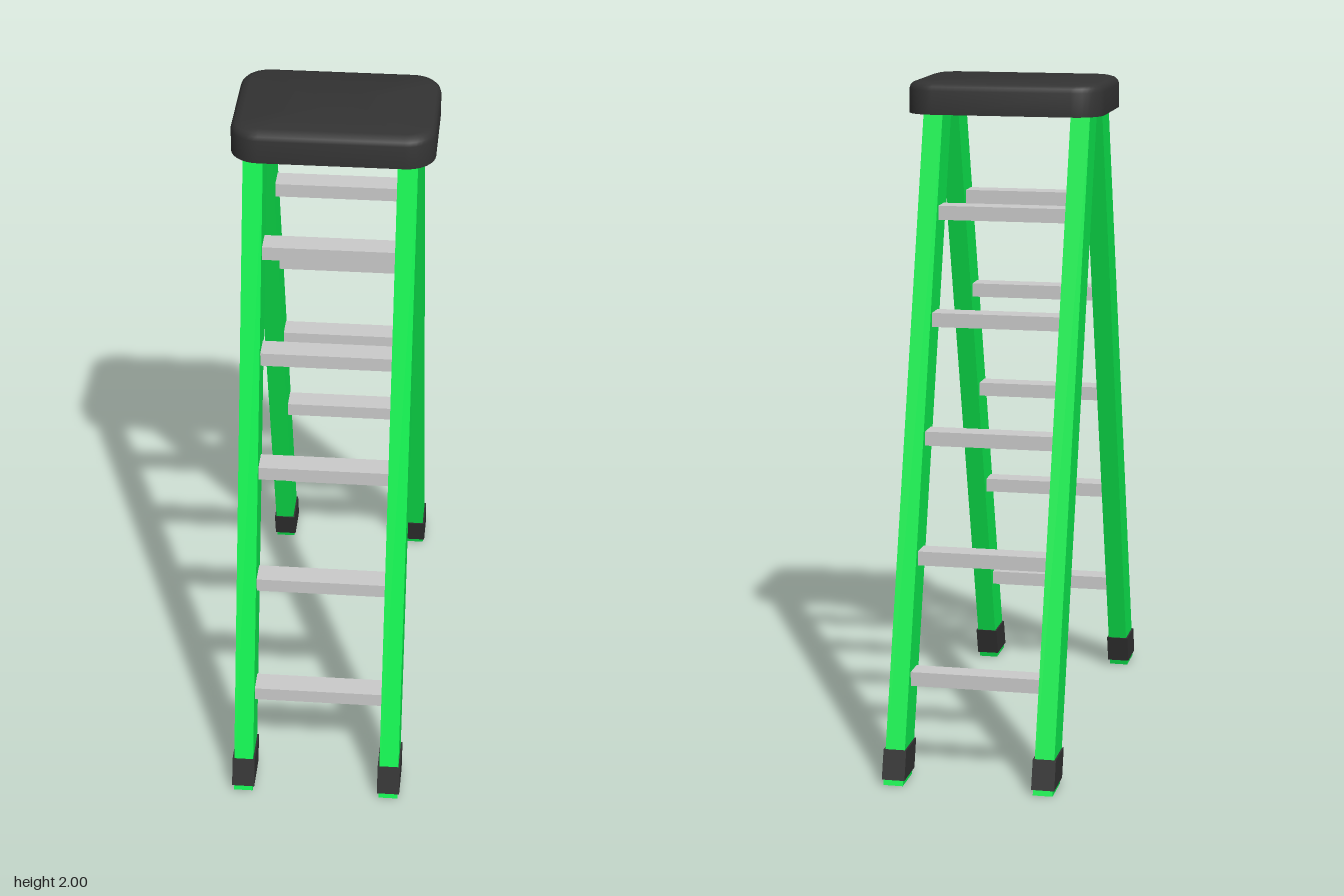
import * as THREE from 'three';
import { toCreasedNormals } from 'three/addons/utils/BufferGeometryUtils.js';

const green = new THREE.MeshStandardMaterial({ color: 0x0df050 });
const dark = new THREE.MeshStandardMaterial({ color: 0x333333 });
const grey = new THREE.MeshStandardMaterial({ color: 0xcccccc });

const SLOPE = 0.2925;            // outward run of a leg per unit of height
const LEG_BASE = 0.66;           // z of the leg centre on the ground
const LEG_X = 0.222, SHIFT_X = -0.008, SHIFT_Z = -0.002;
const legZ = (y) => LEG_BASE - SLOPE * y;

// Box with level ends between two heights, sheared along the leg slope
function slantedBox(width, depth, y0, y1) {
  const geo = new THREE.BoxGeometry(width, y1 - y0, depth);
  geo.translate(0, (y0 + y1) / 2, 0);
  const p = geo.attributes.position;
  for (let i = 0; i < p.count; i++) p.setZ(i, p.getZ(i) + legZ(p.getY(i)));
  geo.computeVertexNormals();
  return geo;
}

// Outline of a rounded rectangle as a loop of points
function roundedLoop(hx, hz, r, steps = 8) {
  const pts = [];
  [[1, 1], [-1, 1], [-1, -1], [1, -1]].forEach(([sx, sz], q) => {
    for (let i = 0; i <= steps; i++) {
      const a = (q + i / steps) * Math.PI / 2;
      pts.push([sx * (hx - r) + r * Math.cos(a), sz * (hz - r) + r * Math.sin(a)]);
    }
  });
  return pts;
}

// Top cap: rounded slab with a flat underside and a softened upper rim
function capGeometry() {
  const rings = [[0, 1.905], [0, 1.975], [0.004, 1.987], [0.012, 1.995], [0.03, 2]];
  const pos = [], idx = [];
  let n = 0;
  for (const [inset, y] of rings) {
    const loop = roundedLoop(0.294 - inset, 0.211 - inset, 0.085 - inset);
    n = loop.length;
    for (const [x, z] of loop) pos.push(x, y, z);
  }
  const last = (rings.length - 1) * n;
  const bottom = rings.length * n, top = bottom + 1;
  pos.push(0, 1.905, 0, 0, 2, 0);
  for (let i = 0; i < n; i++) {
    const j = (i + 1) % n;
    for (let k = 0; k < last; k += n) {
      idx.push(k + i, k + n + i, k + j, k + j, k + n + i, k + n + j);
    }
    idx.push(bottom, i, j, top, last + j, last + i);
  }
  const geo = new THREE.BufferGeometry();
  geo.setAttribute('position', new THREE.Float32BufferAttribute(pos, 3));
  geo.setIndex(idx);
  return toCreasedNormals(geo, 0.7);
}

function add(parent, name, geo, mat, x = 0, y = 0, z = 0) {
  const mesh = new THREE.Mesh(geo, mat);
  mesh.name = name;
  mesh.position.set(x, y, z);
  parent.add(mesh);
}

export function createModel() {
  const model = new THREE.Group();
  model.name = 'stepladder';

  const legGeo = slantedBox(0.058, 0.115, 0, 1.92);
  const footGeo = slantedBox(0.068, 0.123, 0.016, 0.1);
  const rungGeo = new THREE.BoxGeometry(2 * LEG_X - 0.04, 0.042, 0.071);
  const rungHeights = [0.293, 0.632, 0.971, 1.309, 1.616];

  // Two identical ladder frames leaning against each other
  for (const [name, turn] of [['front', 0], ['back', Math.PI]]) {
    const frame = new THREE.Group();
    frame.name = name + 'Frame';
    frame.rotation.y = turn;
    frame.position.set(SHIFT_X, 0, SHIFT_Z);
    for (const side of [-1, 1]) {
      add(frame, name + 'Leg', legGeo, green, side * LEG_X);
      add(frame, name + 'Foot', footGeo, dark, side * LEG_X);
    }
    for (const y of rungHeights) add(frame, name + 'Rung', rungGeo, grey, 0, y, legZ(y));
    model.add(frame);
  }

  add(model, 'topCap', capGeometry(), dark, -0.002, 0, -0.003);
  return model;
}
